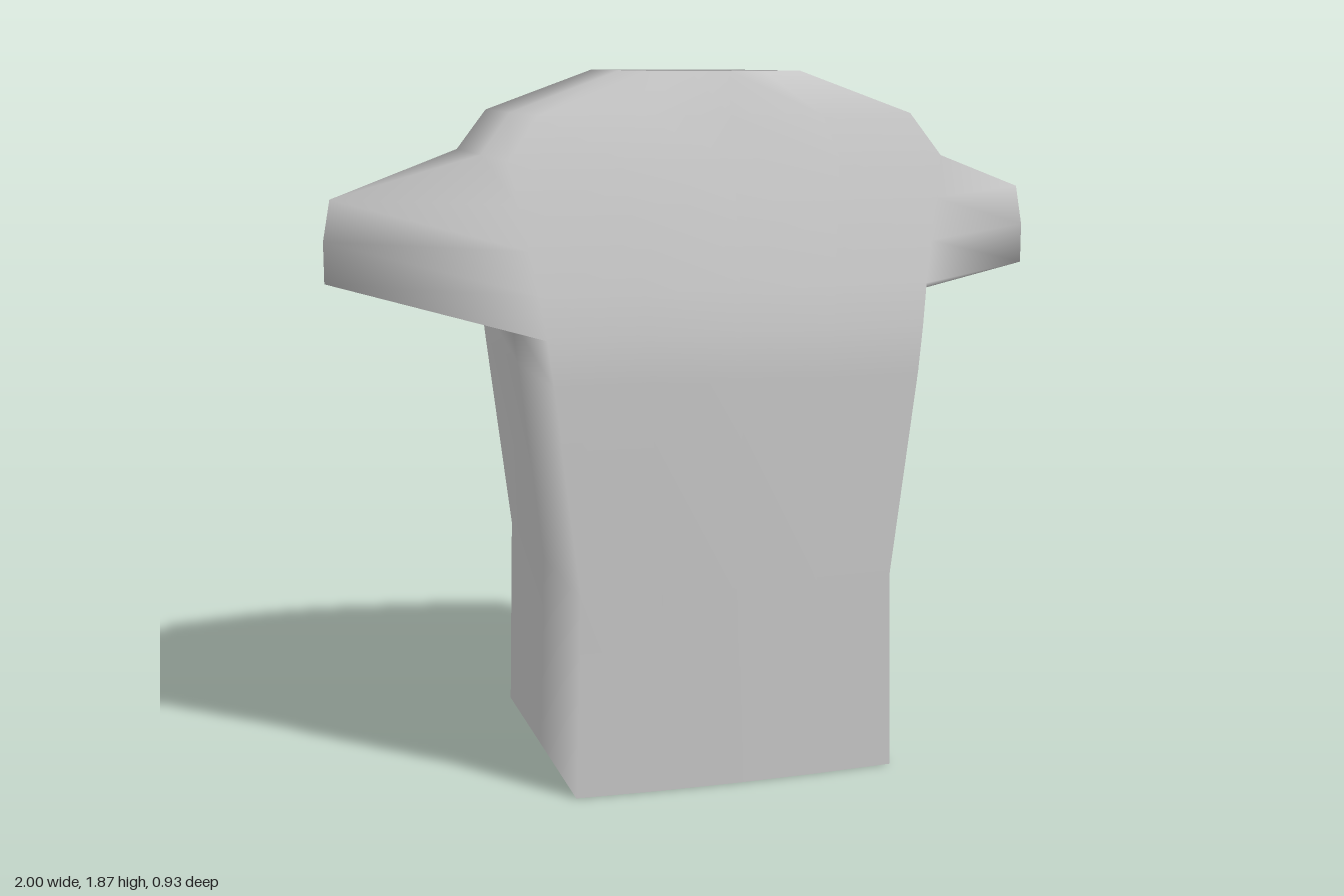
import * as THREE from 'three';

// Rows from hem to neck: [y, half width, depth at side seam, x of side middle]
const ROWS = [
  [0, 0.44, 0.425, 0.44],
  [0.54, 0.425, 0.437, 0.425],
  [1.09, 0.49, 0.45, 0.49],
  [1.21, 0.505, 0.442, 0.505],
  [1.32, 0.52, 0.425, 1.0], // sleeve rows: side middle is pulled outwards
  [1.43, 0.54, 0.405, 1.0],
  [1.54, 0.56, 0.385, 0.98],
  [1.65, 0.58, 0.362, 0.58],
  [1.76, 0.5, 0.34, 0.5], // shoulder slope
  [1.87, 0.2, 0.316, 0.2], // neck opening
];
const BOW = 0.015; // slight outward curve of the front and back panels
const PANEL = [-1, -0.5, 0, 0.5, 1];

// One closed ring: front panel, left side, back panel, right side
function ring([y, half, depth, middle]) {
  const points = [];
  for (const s of [1, -1]) {
    for (const t of PANEL) points.push([s * t * half, y, s * (depth + BOW * (1 - t * t))]);
    points.push([s * middle, y, 0]);
  }
  return points;
}

function shirtGeometry() {
  const rings = ROWS.map(ring);
  const n = rings[0].length;
  const index = [];
  for (let i = 0; i < rings.length - 1; i++) {
    for (let j = 0; j < n; j++) {
      const k = (j + 1) % n;
      const a = i * n + j, b = i * n + k, c = b + n, d = a + n;
      index.push(a, b, d, b, c, d);
    }
  }
  const geometry = new THREE.BufferGeometry();
  geometry.setAttribute('position', new THREE.Float32BufferAttribute(rings.flat(2), 3));
  geometry.setIndex(index);
  geometry.computeVertexNormals();

  // Side seams take the normal of the panel, so front and back shade flat
  const normal = geometry.attributes.normal;
  for (let i = 0; i < rings.length; i++) {
    for (const [seam, inner] of [[0, 1], [4, 3], [6, 7], [10, 9]]) {
      const from = i * n + inner;
      normal.setXYZ(i * n + seam, normal.getX(from), normal.getY(from), normal.getZ(from));
    }
  }
  return geometry;
}

export function createModel() {
  const group = new THREE.Group();
  group.name = 'shirt';
  const material = new THREE.MeshStandardMaterial({ color: 0xcccccc, side: THREE.DoubleSide });
  const body = new THREE.Mesh(shirtGeometry(), material);
  body.name = 'shirtBodyWithSleeves';
  group.add(body);
  return group;
}
